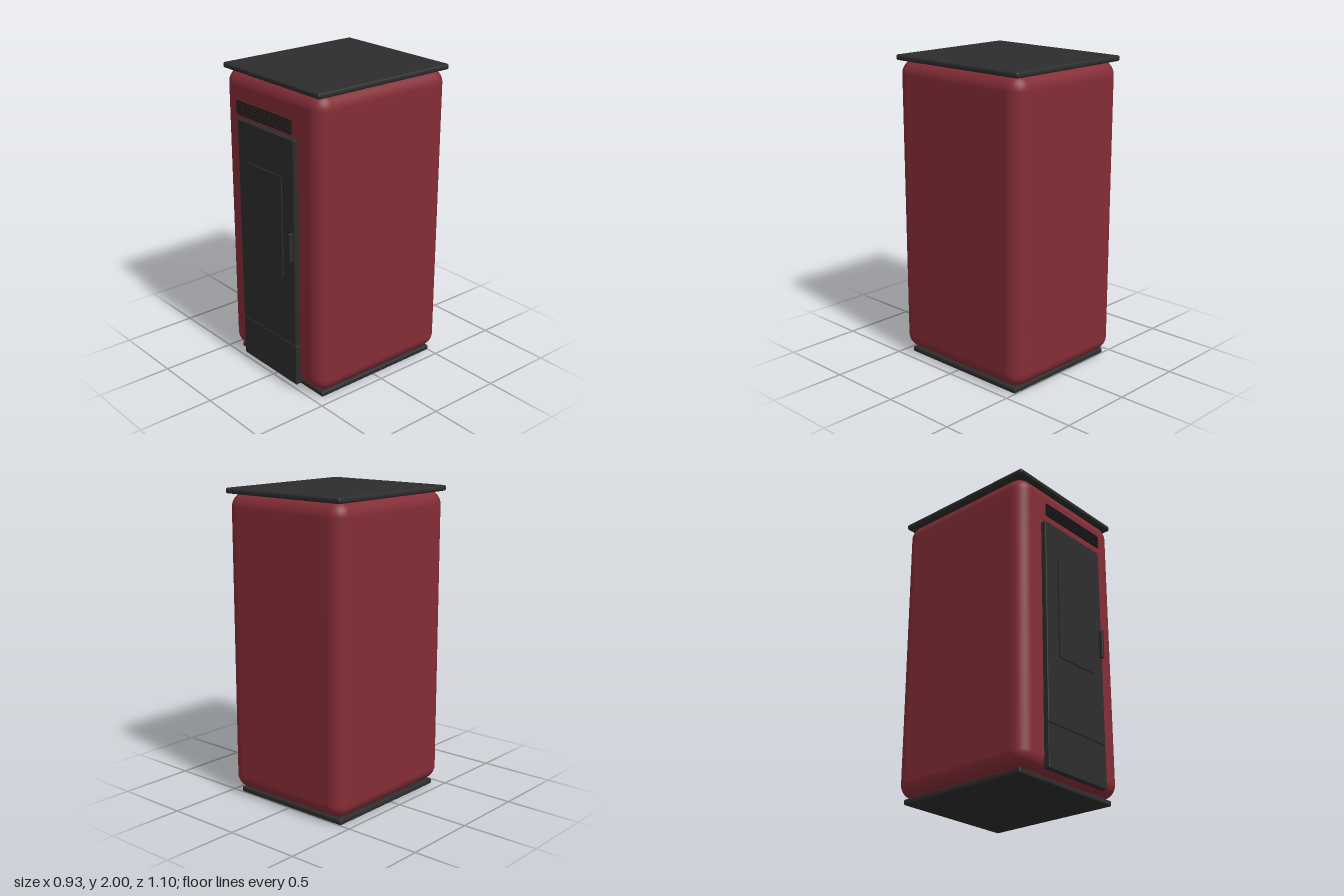
import * as THREE from 'three';
import { RoundedBoxGeometry } from 'three/addons/geometries/RoundedBoxGeometry.js';

export function createModel() {
  const stove = new THREE.Group();
  stove.name = 'stove';

  const material = (name, color) => {
    const m = new THREE.MeshStandardMaterial({ color });
    m.name = name;
    return m;
  };
  const red = material('red enamel', 0x852d36);
  const iron = material('dark iron', 0x2d2d2d);
  const black = material('vent black', 0x1a1a1a);

  // Box given by its limits on each axis, with optional rounded edges
  function block(name, mat, [x0, x1], [y0, y1], [z0, z1], radius = 0, segments = 3) {
    const size = [x1 - x0, y1 - y0, z1 - z0];
    const geometry = radius
      ? new RoundedBoxGeometry(...size, segments, radius)
      : new THREE.BoxGeometry(...size);
    const mesh = new THREE.Mesh(geometry, mat);
    mesh.name = name;
    mesh.position.set((x0 + x1) / 2, (y0 + y1) / 2, (z0 + z1) / 2);
    stove.add(mesh);
    return mesh;
  }

  // Cabinet, lid and plinth
  block('body', red, [-0.466, 0.466], [0.038, 1.975], [-0.55, 0.487], 0.095, 8);
  block('lid', iron, [-0.467, 0.467], [1.964, 2], [-0.55, 0.487], 0.014);
  block('base', iron, [-0.432, 0.428], [0, 0.036], [-0.5, 0.437], 0.01);

  // Door with its window, lower panel and handle
  block('door', iron, [-0.276, 0.272], [0.33, 1.685], [0.48, 0.522], 0.006);
  block('lowerPanel', iron, [-0.276, 0.272], [0.052, 0.328], [0.48, 0.521], 0.004);
  block('window', iron, [-0.166, 0.162], [0.775, 1.432], [0.522, 0.531]);
  block('handle', iron, [0.241, 0.262], [0.908, 1.1], [0.52, 0.55], 0.005);

  // Thin slats of the air vent
  for (let i = 0; i < 6; i++) {
    const y = 1.727 + i * 0.0153;
    block('ventSlat', black, [-0.271, 0.267], [y - 0.004, y + 0.004], [0.521, 0.532]);
  }
  return stove;
}
